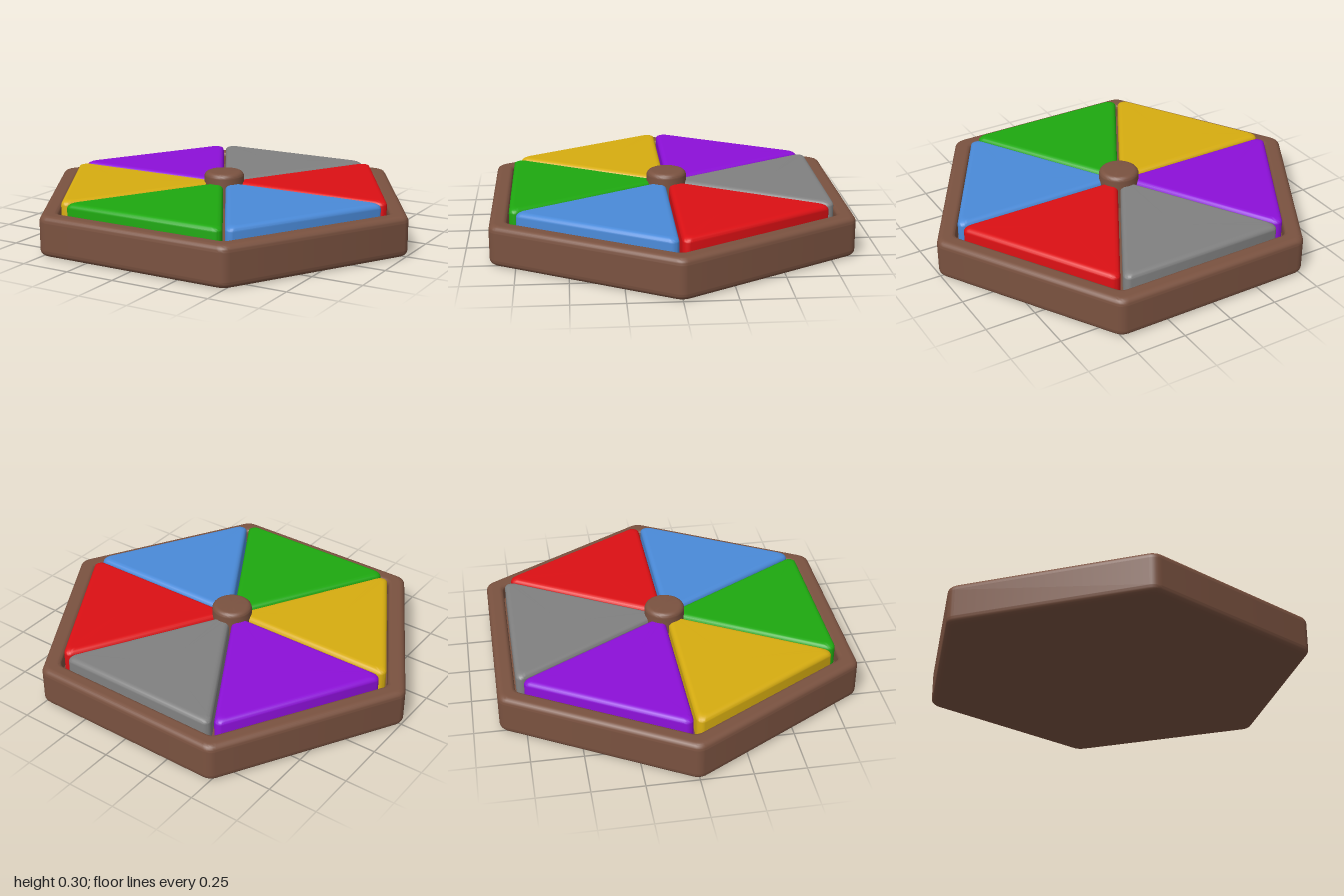
import * as THREE from 'three';
import { toCreasedNormals } from 'three/addons/utils/BufferGeometryUtils.js';

// Outline of a regular polygon with rounded corners, apothem 1, one flat side facing +z
function roundedPolygon(sides, cornerRadius, steps) {
  const points = [];
  const half = Math.PI / sides;
  const centreDistance = (1 - cornerRadius) / Math.cos(half);
  for (let i = 0; i < sides; i++) {
    const corner = (2 * i + 1) * half;
    for (let j = 0; j <= steps; j++) {
      const a = corner - half + (2 * half * j) / steps;
      points.push([
        centreDistance * Math.sin(corner) + cornerRadius * Math.sin(a),
        centreDistance * Math.cos(corner) + cornerRadius * Math.cos(a),
      ]);
    }
  }
  return points;
}

// Quarter round in a profile, with short flats at both ends to keep the faces beside it flat
function quarterRound(cx, cy, r, fromDeg, steps = 6) {
  const points = [];
  const at = (deg) => [Math.cos(deg * Math.PI / 180), Math.sin(deg * Math.PI / 180)];
  const flat = 0.004;
  const [sx, sy] = at(fromDeg), [ex, ey] = at(fromDeg + 90);
  points.push(new THREE.Vector2(cx + r * sx - flat * ex, cy + r * sy - flat * ey));
  for (let i = 0; i <= steps; i++) {
    const [c, s] = at(fromDeg + (90 * i) / steps);
    points.push(new THREE.Vector2(cx + r * c, cy + r * s));
  }
  points.push(new THREE.Vector2(cx + r * ex - flat * sx, cy + r * ey - flat * sy));
  return points;
}

// Lathe a profile around a polygon outline instead of a circle
function polygonLathe(profile, outline) {
  const geometry = new THREE.LatheGeometry(profile, outline.length);
  const position = geometry.attributes.position;
  for (let i = 0; i <= outline.length; i++) {
    const [ox, oz] = outline[i % outline.length];
    profile.forEach((p, j) => {
      position.setXYZ(i * profile.length + j, p.x * ox, p.y, p.x * oz);
    });
  }
  return toCreasedNormals(geometry, 0.5);
}

function addMesh(group, name, geometry, color) {
  const mesh = new THREE.Mesh(geometry, new THREE.MeshStandardMaterial({ color }));
  mesh.name = name;
  group.add(mesh);
  return mesh;
}

export function createModel() {
  const group = new THREE.Group();
  group.name = 'hexagonalWedgeBoard';
  const brown = 0x7a5240;
  const v = (x, y) => new THREE.Vector2(x, y);

  // Tray: hexagonal base with a rounded rim around a shallow recess
  const apothem = 0.874, height = 0.2, edge = 0.03, recess = 0.788, floor = 0.13;
  const trayProfile = [
    v(0, 0),
    ...quarterRound(apothem - edge, edge, edge, -90),
    ...quarterRound(apothem - edge, height - edge, edge, 0),
    ...quarterRound(recess + 0.02, height - 0.02, 0.02, 90),
    v(recess, floor),
    v(0, floor),
  ];
  addMesh(group, 'tray', polygonLathe(trayProfile, roundedPolygon(6, 0.06 / apothem, 6)), brown);

  // Six triangular wedges with rounded edges, counted from the front
  const gap = 0.006, outer = 0.78, top = 0.25, round = 0.025;
  const inradius = (outer - 2 * gap) / 3;
  const wedgeProfile = [
    v(0, floor),
    v(inradius, floor),
    ...quarterRound(inradius - round, top - round, round, 0),
    v(0, top),
  ];
  const wedgeGeometry = polygonLathe(wedgeProfile, roundedPolygon(3, 0.03 / inradius, 8));
  const wedges = [
    ['greenWedge', 0x1ea810],
    ['blueWedge', 0x4a8ad8],
    ['redWedge', 0xdc1014],
    ['greyWedge', 0x808080],
    ['purpleWedge', 0x8c10d8],
    ['yellowWedge', 0xd6ac10],
  ];
  wedges.forEach(([name, color], i) => {
    const angle = (i * Math.PI) / 3;
    const wedge = addMesh(group, name, wedgeGeometry, color);
    wedge.rotation.y = angle;
    const distance = outer - inradius;
    wedge.position.set(distance * Math.sin(angle), 0, distance * Math.cos(angle));
  });

  // Round centre button
  const buttonProfile = [
    v(0, floor),
    v(0.1, floor),
    ...quarterRound(0.075, 0.277, 0.025, 0),
    v(0, 0.302),
  ];
  addMesh(group, 'centreButton', toCreasedNormals(new THREE.LatheGeometry(buttonProfile, 48), 0.5), brown);

  return group;
}
